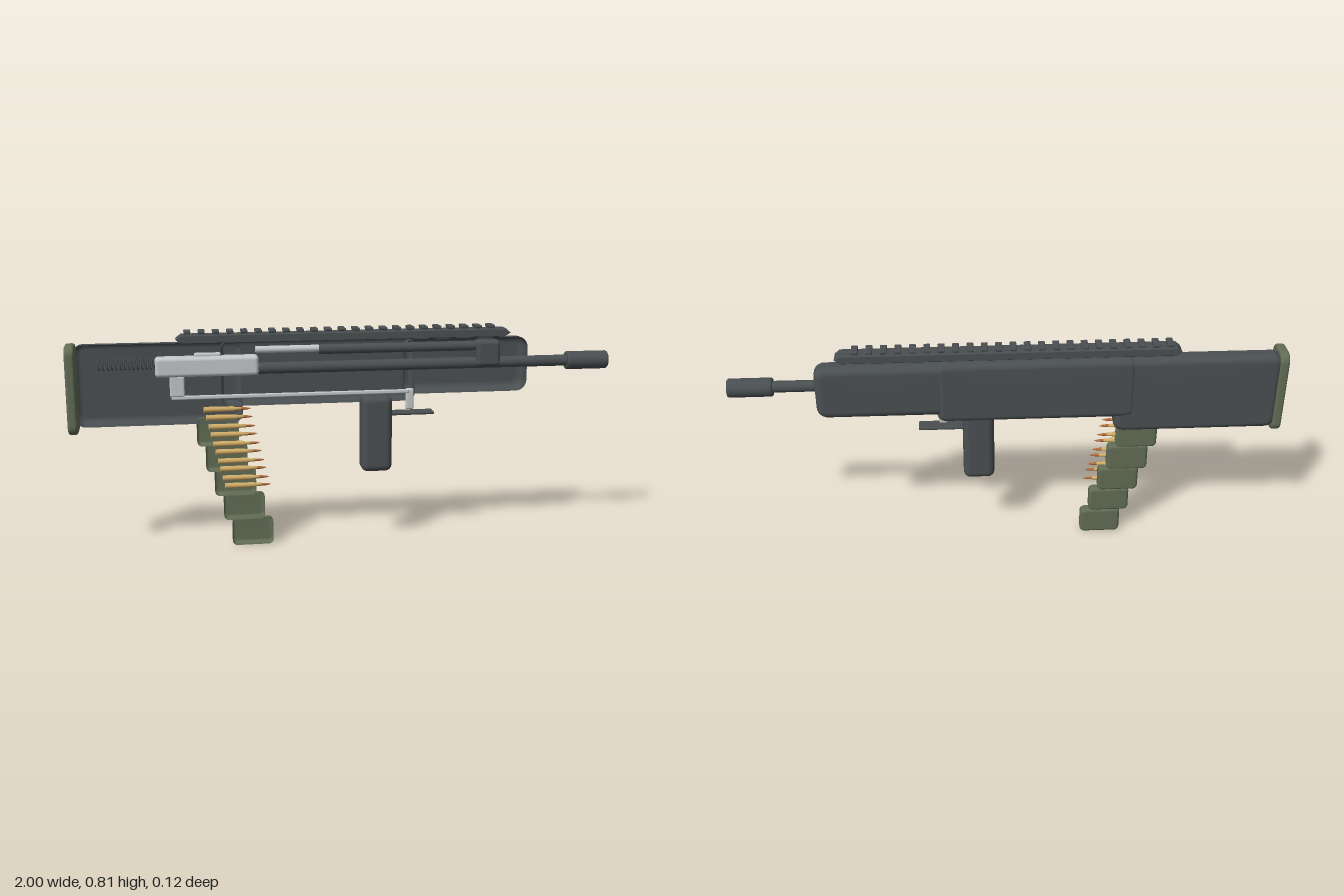
import * as THREE from 'three';
import { RoundedBoxGeometry } from 'three/addons/geometries/RoundedBoxGeometry.js';

function material(name, color, side = THREE.FrontSide) {
  const m = new THREE.MeshStandardMaterial({ color, side });
  m.name = name;
  return m;
}

// Outline points of a rounded rectangle, counter-clockwise
function roundedOutline(x0, x1, y0, y1, r, steps = 6) {
  const pts = [];
  const corners = [[x1 - r, y1 - r], [x0 + r, y1 - r], [x0 + r, y0 + r], [x1 - r, y0 + r]];
  corners.forEach(([cx, cy], k) => {
    for (let i = 0; i <= steps; i++) {
      const a = (k + i / steps) * Math.PI / 2;
      pts.push([cx + r * Math.cos(a), cy + r * Math.sin(a)]);
    }
  });
  return pts;
}

// Open-fronted half shell: rounded outlines shrinking towards a closed back
function dishGeometry(x0, x1, y0, y1, depth, corner, bevel) {
  const profile = [[0, 0], [0, -(depth - bevel)]];
  for (let i = 1; i <= 6; i++) {
    const a = i / 6 * Math.PI / 2;
    profile.push([bevel * (1 - Math.cos(a)), -(depth - bevel) - bevel * Math.sin(a)]);
  }
  const pos = [], index = [];
  let n = 0;
  for (const [inset, z] of profile) {
    const ring = roundedOutline(x0 + inset, x1 - inset, y0 + inset, y1 - inset, Math.max(corner - inset, 0.004));
    n = ring.length;
    ring.forEach(([x, y]) => pos.push(x, y, z));
  }
  for (let j = 0; j < profile.length - 1; j++) {
    for (let i = 0; i < n; i++) {
      const a = j * n + i, b = j * n + (i + 1) % n;
      index.push(a, a + n, b, b, a + n, b + n);
    }
  }
  const last = (profile.length - 1) * n, centre = pos.length / 3;
  pos.push((x0 + x1) / 2, (y0 + y1) / 2, -depth);
  for (let i = 0; i < n; i++) index.push(last + i, centre, last + (i + 1) % n);
  const g = new THREE.BufferGeometry();
  g.setAttribute('position', new THREE.Float32BufferAttribute(pos, 3));
  g.setIndex(index);
  g.computeVertexNormals();
  return g;
}

export function createModel() {
  const model = new THREE.Group();
  const dark = material('charcoal', 0x4a4f51);
  const shell = material('charcoal shell', 0x4a4f51, THREE.DoubleSide);
  const green = material('olive', 0x626c55);
  const greenShell = material('olive shell', 0x626c55, THREE.DoubleSide);
  const steel = material('light steel', 0xc4c6c8);
  const brass = material('brass', 0xcfab66);
  const copper = material('copper', 0xb06c3c);

  const add = (name, geometry, mat, x = 0, y = 0, z = 0, parent = model) => {
    const mesh = new THREE.Mesh(geometry, mat);
    mesh.name = name;
    mesh.position.set(x, y, z);
    parent.add(mesh);
    return mesh;
  };
  // Rounded box given by its limits
  const block = (name, mat, [x0, x1], [y0, y1], [z0, z1], r = 0.005) =>
    add(name, new RoundedBoxGeometry(x1 - x0, y1 - y0, z1 - z0, 3, r), mat,
      (x0 + x1) / 2, (y0 + y1) / 2, (z0 + z1) / 2);
  // Turned part along x from [x, radius] points
  const turned = (name, mat, points, y, z = 0, parent = model, sides = 20) => {
    const g = new THREE.LatheGeometry(points.map(([x, r]) => new THREE.Vector2(r, x)), sides);
    g.rotateZ(-Math.PI / 2);
    return add(name, g, mat, 0, y, z, parent);
  };
  const rod = (name, mat, x0, x1, r, y) =>
    turned(name, mat, [[x0, 0], [x0, r], [x0, r], [x1, r], [x1, r], [x1, 0]], y);

  // Body half shells, overlapping at the joints
  add('stockShell', dishGeometry(-0.975, -0.38, 0.473, 0.77, 0.057, 0.035, 0.025), shell);
  add('receiverShell', dishGeometry(-0.455, 0.26, 0.535, 0.772, 0.061, 0.03, 0.025), shell);
  add('foregripShell', dishGeometry(0.215, 0.69, 0.56, 0.765, 0.058, 0.04, 0.03), shell);

  // Butt pad, a bevelled plate across the full width
  const padShape = new THREE.Shape(
    roundedOutline(-0.05, 0.05, -0.15, 0.15, 0.025).map(([x, y]) => new THREE.Vector2(x, y)));
  const padGeometry = new THREE.ExtrudeGeometry(padShape, {
    depth: 0.015, bevelThickness: 0.01, bevelSize: 0.01, bevelSegments: 3,
  });
  padGeometry.rotateY(Math.PI / 2);
  add('buttPad', padGeometry, green, -0.99, 0.615, 0.002);

  // Top rail with cross teeth
  const rail = new THREE.Shape();
  rail.moveTo(-0.61, 0.785);
  rail.lineTo(-0.595, 0.773);
  rail.lineTo(0.59, 0.773);
  rail.lineTo(0.61, 0.785);
  rail.lineTo(0.595, 0.798);
  rail.lineTo(-0.595, 0.798);
  add('rail', new THREE.ExtrudeGeometry(rail, {
    depth: 0.05, bevelThickness: 0.005, bevelSize: 0.003, bevelSegments: 2,
  }), dark, 0, 0, -0.025);
  const neck = new THREE.BoxGeometry(0.022, 0.012, 0.044);
  const tooth = new RoundedBoxGeometry(0.024, 0.01, 0.056, 2, 0.003);
  for (let i = 0; i < 23; i++) {
    const x = -0.573 + i * 0.0507;
    add('railNeck', neck, dark, x, 0.802, 0);
    add('railTooth', tooth, dark, x, 0.81, 0);
  }

  // Barrel, muzzle and gas system
  rod('barrel', dark, -0.34, 0.86, 0.021, 0.672);
  turned('muzzle', dark, [[0.84, 0], [0.84, 0.03], [0.84, 0.03], [0.844, 0.034], [0.85, 0.034],
    [0.99, 0.034], [0.996, 0.034], [1, 0.031], [1, 0.03], [1, 0]], 0.671, 0, model, 28);
  rod('gasTube', dark, -0.1, 0.52, 0.018, 0.736);
  rod('piston', steel, -0.33, -0.1, 0.013, 0.74);
  block('gasBlock', dark, [0.487, 0.577], [0.66, 0.758], [-0.033, 0.034], 0.015);

  // Bolt carrier with its recoil spring
  block('boltCarrier', steel, [-0.69, -0.32], [0.65, 0.722], [-0.028, 0.03], 0.014);
  block('carrierTop', steel, [-0.55, -0.455], [0.71, 0.733], [-0.012, 0.012]);
  const coil = [];
  for (let i = 0; i <= 168; i++) {
    const a = i / 12 * Math.PI * 2;
    coil.push(new THREE.Vector3(-0.89 + i / 168 * 0.21, 0.698 + 0.019 * Math.cos(a), 0.019 * Math.sin(a)));
  }
  add('recoilSpring', new THREE.TubeGeometry(new THREE.CatmullRomCurve3(coil), 240, 0.0027, 5), dark);

  // Trigger linkage, trigger and guard
  block('linkageArm', steel, [-0.64, -0.587], [0.577, 0.652], [0, 0.017], 0.006);
  block('linkageBar', steel, [-0.635, 0.235], [0.566, 0.58], [0.002, 0.015], 0.004);
  block('trigger', steel, [0.225, 0.255], [0.503, 0.582], [-0.009, 0.011], 0.007);
  block('triggerGuard', dark, [0.165, 0.33], [0.485, 0.497], [-0.025, 0.026]);
  block('grip', dark, [0.055, 0.17], [0.275, 0.562], [-0.042, 0.045], 0.025);

  // Stepped magazine made of five open segments
  const segments = [[-0.548, 0.388, 0.492], [-0.518, 0.29, 0.398], [-0.488, 0.197, 0.3],
    [-0.457, 0.103, 0.204], [-0.427, 0.003, 0.107]];
  segments.forEach(([x, y0, y1]) =>
    add('magazineSegment', dishGeometry(x, x + 0.152, y0, y1, 0.033, 0.018, 0.012), greenShell));

  // Staggered column of cartridges
  for (let i = 0; i < 10; i++) {
    const round = new THREE.Group();
    round.name = 'cartridge';
    round.position.set(-0.522 + i * 0.0078, 0.527 - i * 0.0324, i % 2 ? 0 : 0.01);
    turned('case', brass, [[0, 0], [0, 0.0105], [0.006, 0.0105], [0.008, 0.009], [0.011, 0.0105],
      [0.105, 0.0098], [0.117, 0.0065], [0.135, 0.0062], [0.135, 0]], 0, 0, round, 12);
    turned('tip', copper, [[0.13, 0.0055], [0.146, 0.0052], [0.16, 0.0035], [0.172, 0]], 0, 0, round, 12);
    model.add(round);
  }

  return model;
}
